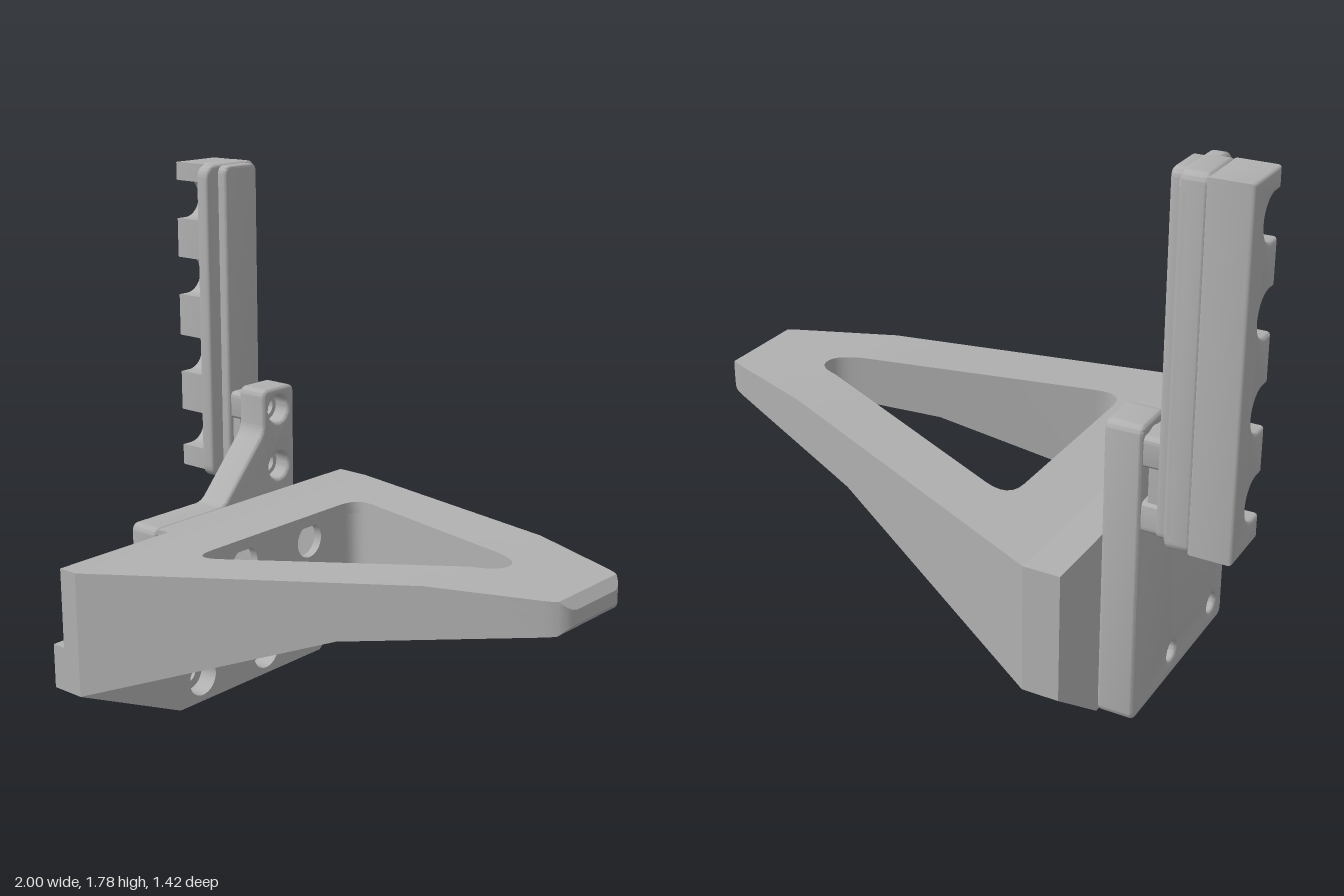
import * as THREE from 'three';
import { mergeGeometries, toCreasedNormals } from 'three/addons/utils/BufferGeometryUtils.js';

const V = (x, y) => new THREE.Vector2(x, y);

// Height of the arm's upper and lower surface along x
const TOP = [[-0.46, 0.62], [0.6, 0.72], [0.97, 0.72], [1, 0.69]];
const BOTTOM = [[-0.46, 0.2], [0.35, 0.51], [0.97, 0.615], [1, 0.645]];
const BANDS = [-0.6, 0.35, 0.6, 0.97, 1];

function heightAt(table, x) {
  for (let i = 1; i < table.length; i++) {
    const [x0, y0] = table[i - 1], [x1, y1] = table[i];
    if (x <= x1 || i === table.length - 1) return y0 + (y1 - y0) * (x - x0) / (x1 - x0);
  }
}

// Keep the part of a polygon on one side of a line of constant x
function clip(points, limit, side) {
  const out = [];
  points.forEach((p, i) => {
    const q = points[(i + 1) % points.length];
    const dp = (p.x - limit) * side, dq = (q.x - limit) * side;
    if (dp >= 0) out.push(p);
    if (dp * dq < 0) out.push(p.clone().lerp(q, dp / (dp - dq)));
  });
  return out.filter((p, i) => p.distanceTo(out[(i + 1) % out.length]) > 1e-5);
}

// Plan polygon (x, z) raised between two heights that vary with x
function slab(points, low, high) {
  const parts = [];
  for (let i = 1; i < BANDS.length; i++) {
    const piece = clip(clip(points, BANDS[i - 1], 1), BANDS[i], -1);
    if (piece.length < 3) continue;
    const shape = new THREE.Shape(piece.map(p => V(p.x, -p.y)));
    const g = new THREE.ExtrudeGeometry(shape, { depth: 1, bevelEnabled: false });
    g.rotateX(-Math.PI / 2);
    const pos = g.attributes.position;
    for (let k = 0; k < pos.count; k++) {
      const x = pos.getX(k);
      pos.setY(k, pos.getY(k) > 0.5 ? high(x) : low(x));
    }
    parts.push(g);
  }
  return toCreasedNormals(mergeGeometries(parts), 0.5);
}

// Profile in (-z, y) extruded from x0 to x1, holes given as [z, y, radius]
function plate(shape, x0, x1, holes = [], bevel = 0) {
  for (const [z, y, r] of holes) {
    shape.holes.push(new THREE.Path().absarc(-z, y, r, 0, Math.PI * 2, true));
  }
  const g = new THREE.ExtrudeGeometry(shape, {
    depth: x1 - x0 - 2 * bevel, bevelEnabled: bevel > 0, bevelThickness: bevel,
    bevelSize: bevel, bevelOffset: -bevel, bevelSegments: 3, curveSegments: 16
  });
  g.rotateY(Math.PI / 2).translate(x0 + bevel, 0, 0);
  return toCreasedNormals(g, 0.6);
}

const polygon = pts => new THREE.Shape(pts.map(([z, y]) => V(-z, y)));

// Polygon with all corners rounded
function rounded(pts, r) {
  const p = pts.map(([z, y]) => V(-z, y)), n = p.length, s = new THREE.Shape();
  p.forEach((c, i) => {
    const a = c.clone().add(p[(i + n - 1) % n].clone().sub(c).setLength(r));
    const b = c.clone().add(p[(i + 1) % n].clone().sub(c).setLength(r));
    if (i === 0) s.moveTo(a.x, a.y); else s.lineTo(a.x, a.y);
    s.quadraticCurveTo(c.x, c.y, b.x, b.y);
  });
  s.closePath();
  return s;
}
const roundedRect = (z0, z1, y0, y1, r) => rounded([[z0, y0], [z1, y0], [z1, y1], [z0, y1]], r);

// Half plan outlines of the arm and of its opening, inset or outset by o
const outerZ = (x, o = 0) => 0.71 - (x + 0.46) * 0.385 - o * 1.07;
const holeZ = (x, o = 0) => 0.375 - (x + 0.15) * 0.394 + o * 1.075;
function outerPath(o) {
  const e = 1 - o;
  return new THREE.Path().moveTo(-0.46, outerZ(-0.46, o)).lineTo(e - 0.07, outerZ(e - 0.07, o))
    .quadraticCurveTo(e, outerZ(e, o), e, outerZ(e, o) - 0.05).lineTo(e, 0).getPoints(5);
}
function holePath(o) {
  const b = -0.25 - o, e = 0.69 + o, zc = holeZ(b, o);
  return new THREE.Path().moveTo(b, zc - 0.1).quadraticCurveTo(b, zc, b + 0.1, holeZ(b + 0.1, o))
    .lineTo(e - 0.06, holeZ(e - 0.06, o)).quadraticCurveTo(e, holeZ(e, o), e, 0).getPoints(6);
}

export function createModel() {
  const model = new THREE.Group();
  const grey = new THREE.MeshStandardMaterial({ color: 0xb0b0b0 });
  grey.name = 'grey';
  const add = (name, geometry, parent = model) => {
    const mesh = new THREE.Mesh(geometry, grey);
    mesh.name = name;
    parent.add(mesh);
  };

  const top = x => heightAt(TOP, x), bottom = x => heightAt(BOTTOM, x);
  const under = x => top(x) - 0.015;

  // Hollow tapering arm, both halves
  const arm = new THREE.Group();
  arm.name = 'arm';
  model.add(arm);
  for (const s of [1, -1]) {
    const half = pts => pts.map(p => V(p.x, p.y * s));
    const rect = (x0, x1, z0, z1) => half([V(x0, z0), V(x1, z0), V(x1, z1), V(x0, z1)]);
    const outer = outerPath(0), hole = holePath(0);
    add('armTop', slab(half([V(-0.46, 0), ...outer, ...hole.slice().reverse(), V(-0.25, 0)]),
      x => top(x) - 0.04, top), arm);
    add('outerWall', slab(half([...outer, ...outerPath(0.035).reverse()]), bottom, top), arm);
    add('openingWall', slab(half([...hole, ...holePath(0.03).reverse()]), bottom, top), arm);
    // Ribs between the opening and the outer wall
    for (const x of [-0.265, 0.04, 0.33]) {
      add('crossRib', slab(rect(x - 0.012, x + 0.012, holeZ(x, 0.015), outerZ(x, 0.015)), bottom, under), arm);
    }
    add('backRib', slab(rect(-0.47, -0.27, 0.325, 0.36), bottom, under), arm);
  }
  const middle = (x0, x1) => [V(x0, -0.018), V(x1, -0.018), V(x1, 0.018), V(x0, 0.018)];
  add('backRib', slab(middle(-0.47, -0.27), bottom, under), arm);
  add('tipRib', slab(middle(0.71, 0.967), bottom, under), arm);

  // Rear wall of the opening, with two tool holes
  const zw = holeZ(-0.25) - 0.1;
  add('openingBackWall', plate(polygon([[zw, 0.28], [-zw, 0.28], [-zw, 0.635], [zw, 0.635]]),
    -0.28, -0.25, [[0.16, 0.55, 0.06], [-0.16, 0.55, 0.06]]), arm);

  // Mounting plate: counterbored front layer and a stepped rear layer
  const bolts = r => [0.16, -0.16].flatMap(z => [[z, 0.085, r], [z, 0.55, r]]);
  const foot = [[0.71, 0.2], [0.27, 0], [-0.45, 0], [-0.71, 0.2], [-0.71, 0.62]];
  add('mountFront', plate(polygon([...foot, [0.71, 0.62]]), -0.53, -0.46, bolts(0.063)));
  add('mountBack', plate(polygon([...foot, [0.24, 0.62], [0.24, 0.35], [0.71, 0.35]]),
    -0.58, -0.53, bolts(0.033)));

  // Adapter plate with a raised tab
  const tabHoles = [0.92, 0.71];
  add('adapter', plate(rounded([[0.25, 0], [-0.45, 0], [-0.45, 1], [-0.29, 1], [-0.29, 0.85],
    [-0.08, 0.62], [0.25, 0.62]], 0.03), -0.70, -0.58,
    [...bolts(0.033), ...tabHoles.map(y => [-0.368, y, 0.05])], 0.012));
  for (const y of tabHoles) {
    const disc = new THREE.Shape().absarc(0.368, y, 0.055, 0, Math.PI * 2);
    add('counterboreSeat', plate(disc, -0.69, -0.64, [[-0.368, y, 0.033]]));
    add('spacer', plate(roundedRect(-0.44, -0.30, y - 0.05, y + 0.05, 0.02), -0.76, -0.69,
      [[-0.368, y, 0.033]]));
  }
  add('spacerWeb', plate(roundedRect(-0.43, -0.31, 0.74, 0.9, 0.01), -0.76, -0.715));

  // Upright rack: scooped comb, block, flange and front rail
  const rack = new THREE.Group();
  rack.name = 'rack';
  model.add(rack);
  const comb = new THREE.Shape().moveTo(0.48, 0.655).lineTo(0.48, 1.775).lineTo(0.29, 1.775);
  for (const y of [1.643, 1.367, 1.08, 0.80]) {
    comb.lineTo(0.29, y + 0.068).lineTo(0.33, y + 0.068);
    comb.absarc(0.33, y, 0.068, Math.PI / 2, -Math.PI / 2, true).lineTo(0.29, y - 0.068);
  }
  comb.lineTo(0.29, 0.655);
  add('comb', plate(comb, -1, -0.86, [], 0.012), rack);
  add('rackBlock', plate(roundedRect(-0.48, -0.29, 0.65, 1.78, 0.03), -0.87, -0.79, [], 0.01), rack);
  add('rackFlange', plate(roundedRect(-0.48, -0.235, 0.65, 1.78, 0.05), -0.84, -0.785, [], 0.012), rack);
  add('rackRail', plate(roundedRect(-0.45, -0.29, 0.655, 1.775, 0.03), -0.80, -0.75, [], 0.01), rack);

  return model;
}
